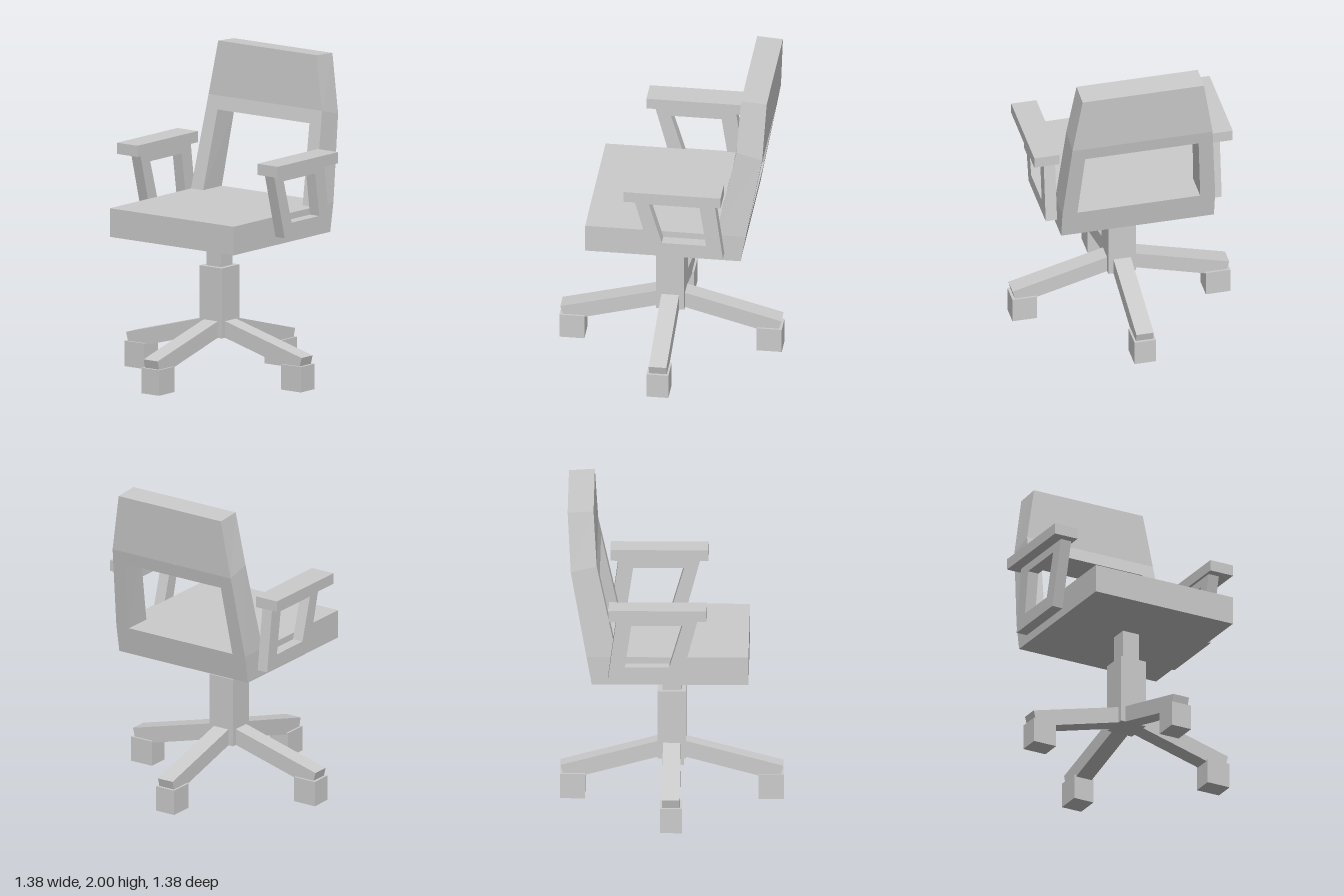
import * as THREE from 'three';

const material = new THREE.MeshStandardMaterial({ color: 0xcccccc, flatShading: true });

function part(name, geometry, x = 0, y = 0, z = 0) {
  const mesh = new THREE.Mesh(geometry, material);
  mesh.name = name;
  mesh.position.set(x, y, z);
  return mesh;
}

const toShape = (pts) => new THREE.Shape(pts.map(([a, b]) => new THREE.Vector2(a, b)));

// Side profile given as [z, y] points, extruded along x and centred on x = 0
function sideProfile(pts, width, hole) {
  const shape = toShape(pts);
  if (hole) shape.holes.push(toShape(hole));
  const geo = new THREE.ExtrudeGeometry(shape, { depth: width, bevelEnabled: false });
  return geo.translate(0, 0, -width / 2).rotateY(-Math.PI / 2);
}

// Moves every vertex by a rule that edits the vector in place
function reshape(geo, rule) {
  const pos = geo.attributes.position;
  const v = new THREE.Vector3();
  for (let i = 0; i < pos.count; i++) {
    rule(v.fromBufferAttribute(pos, i));
    pos.setXYZ(i, v.x, v.y, v.z);
  }
  geo.computeVertexNormals();
  return geo;
}

function createBackrest() {
  const back = new THREE.Group();
  back.name = 'backrest';

  // Lower frame: an arch standing on the seat, leaning back
  const arch = toShape([
    [-0.485, 1.08], [-0.39, 1.08], [-0.36, 1.575], [0.36, 1.575],
    [0.39, 1.08], [0.485, 1.08], [0.445, 1.66], [-0.445, 1.66],
  ]);
  const archGeo = new THREE.ExtrudeGeometry(arch, { depth: 1, bevelEnabled: false });
  back.add(part('backFrame', reshape(archGeo, (v) => {
    if (v.z > 0.5) {
      v.z = -0.335 - 0.2155 * (v.y - 1.08);
    } else {
      if (v.y > 1.2) v.y -= 0.04;
      v.z = -0.49 - 0.1806 * (v.y - 0.9);
    }
  })));

  // Upper panel: narrows upward and stands almost upright
  back.add(part('backPanel', reshape(new THREE.BoxGeometry(1, 1, 1), (v) => {
    const top = v.y > 0, front = v.z > 0;
    v.x = Math.sign(v.x) * (top ? 0.385 : 0.445);
    v.y = top ? (front ? 2.0 : 1.99) : (front ? 1.66 : 1.62);
    v.z = top ? (front ? -0.48 : -0.64) : (front ? -0.46 : -0.62);
  })));
  return back;
}

function createArmrest(name, side) {
  const arm = new THREE.Group();
  arm.name = name;
  const frame = sideProfile(
    [[0.06, 0.953], [0.17, 1.37], [-0.335, 1.37], [-0.39, 0.953]], 0.072,
    [[-0.01, 1.04], [0.07, 1.313], [-0.245, 1.313], [-0.285, 1.04]],
  );
  arm.add(part('armFrame', frame, side * 0.523));
  arm.add(part('armPad', new THREE.BoxGeometry(0.16, 0.07, 0.605), side * 0.55, 1.4, -0.082));
  return arm;
}

function createBase() {
  const base = new THREE.Group();
  base.name = 'base';
  base.add(part('column', new THREE.BoxGeometry(0.175, 0.44, 0.175), 0, 0.49, 0));
  base.add(part('piston', new THREE.BoxGeometry(0.115, 0.2, 0.115), 0, 0.805, 0));

  // Four sloping legs, each ending in a block foot
  for (let i = 0; i < 4; i++) {
    const leg = new THREE.Group();
    leg.name = 'leg' + (i + 1);
    const beam = sideProfile([[0.08, 0.376], [0.08, 0.272], [0.662, 0.115], [0.688, 0.214]], 0.11);
    leg.add(part('legBeam', beam));
    leg.add(part('foot', new THREE.BoxGeometry(0.136, 0.16, 0.156), 0, 0.08, 0.614));
    leg.rotation.y = i * Math.PI / 2;
    base.add(leg);
  }
  return base;
}

export function createModel() {
  const chair = new THREE.Group();
  chair.name = 'officeChair';

  // Seat slab, its rear face following the slope of the backrest
  const seat = sideProfile([[0.477, 0.9], [0.477, 1.08], [-0.5225, 1.08], [-0.49, 0.9]], 0.97);
  chair.add(part('seat', seat));

  chair.add(createBackrest());
  chair.add(createArmrest('leftArmrest', 1), createArmrest('rightArmrest', -1));
  chair.add(createBase());
  return chair;
}
